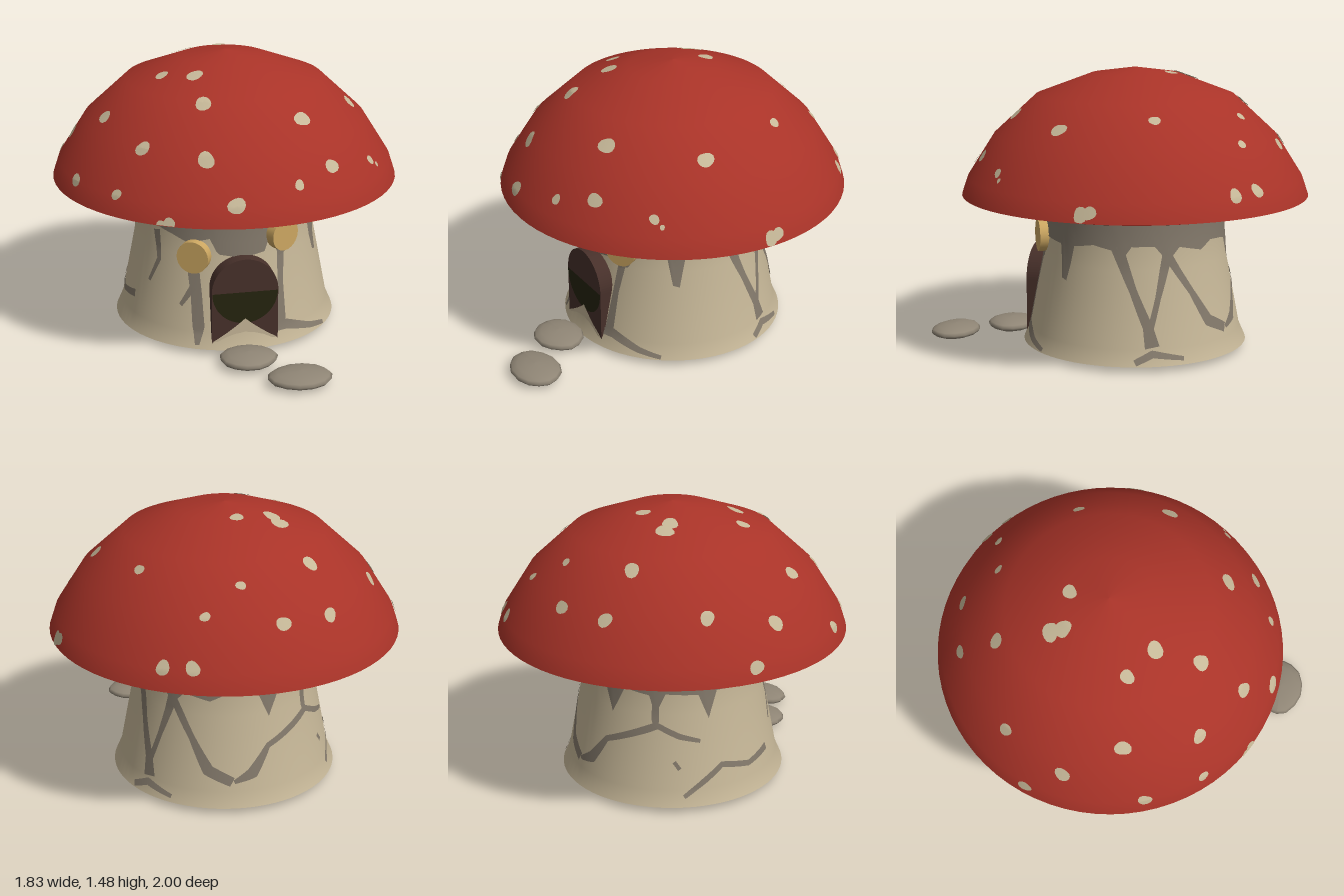
import * as THREE from 'three';

const CZ = -0.088; // axis of stem and cap
const mat = (name, color, side = THREE.FrontSide) => {
  const m = new THREE.MeshStandardMaterial({ color, side });
  m.name = name;
  return m;
};

// Piecewise-linear lookup in rows [key, a, b, ...]
function lookup(rows, k) {
  let i = 0;
  while (i < rows.length - 2 && k > rows[i + 1][0]) i++;
  const p = rows[i], q = rows[i + 1];
  const t = THREE.MathUtils.clamp((k - p[0]) / (q[0] - p[0]), 0, 1);
  return p.slice(1).map((v, j) => v + (q[j + 1] - v) * t);
}

// Surface patch from a rule f(u, v) -> [x, y, z]
function patch(nu, nv, f) {
  const pos = [], idx = [];
  for (let i = 0; i <= nu; i++) for (let j = 0; j <= nv; j++) pos.push(...f(i / nu, j / nv));
  for (let i = 0; i < nu; i++) for (let j = 0; j < nv; j++) {
    const a = i * (nv + 1) + j, b = a + nv + 1;
    idx.push(a, b, a + 1, b, b + 1, a + 1);
  }
  const g = new THREE.BufferGeometry();
  g.setAttribute('position', new THREE.Float32BufferAttribute(pos, 3));
  g.setIndex(idx);
  g.computeVertexNormals();
  return g;
}

export function createModel() {
  const red = mat('cap red', 0xa93328);
  const beige = mat('stem beige', 0xc4b596);
  const spotMat = mat('spot cream', 0xc6b898, THREE.DoubleSide);
  const grey = mat('stem grey brown', 0x82786a, THREE.DoubleSide);
  const gold = mat('window gold', 0xcba661);
  const brown = mat('door brown', 0x47302a);
  const dark = mat('door dark green', 0x25240f);
  const stone = mat('stone grey', 0x8f8575);

  const model = new THREE.Group();
  model.name = 'mushroomHouse';
  const add = (name, geo, m, x = 0, y = 0, z = 0) => {
    const mesh = new THREE.Mesh(geo, m);
    mesh.name = name;
    mesh.position.set(x, y, z);
    model.add(mesh);
    return mesh;
  };
  const lathe = pts => new THREE.LatheGeometry(pts.map(p => new THREE.Vector2(...p)), 72);

  // Stem
  const stem = [[0.595, 0.03], [0.56, 0.11], [0.485, 0.5], [0.472, 0.65], [0.47, 0.81]];
  add('stem', lathe(stem), beige, 0, 0, CZ);
  add('stemBase', lathe([[0, 0.03], [0.595, 0.03]]), beige, 0, 0, CZ);
  const stemRows = stem.map(([r, y]) => [y, r]);
  const onStem = (deg, y) => {
    const a = deg * Math.PI / 180, r = lookup(stemRows, y)[0] + 0.004;
    return [Math.sin(a) * r, y, CZ + Math.cos(a) * r];
  };

  // Dark band under the cap, with drips along its lower edge
  const edge = [[-180, 0.6], [-174, 0.48], [-166, 0.62], [-150, 0.6], [-146, 0.5], [-140, 0.61],
    [-120, 0.6], [-114, 0.47], [-108, 0.61], [-80, 0.6], [-62, 0.63], [-45, 0.6], [-34, 0.57],
    [-20, 0.6], [-15, 0.52], [0, 0.5], [14, 0.52], [18, 0.6], [24, 0.48], [30, 0.5], [36, 0.61],
    [54, 0.6], [58, 0.43], [62, 0.42], [66, 0.6], [80, 0.62], [92, 0.6], [98, 0.55], [104, 0.62],
    [118, 0.62], [126, 0.54], [134, 0.61], [150, 0.58], [160, 0.62], [174, 0.61], [180, 0.6]];
  add('stemBand', patch(180, 4, (u, v) => {
    const deg = -180 + 360 * u, low = lookup(edge, deg)[0];
    return onStem(deg, low + (0.805 - low) * v);
  }), grey);

  // Root-like streaks, rows of [degrees, height, width]
  const streaks = [
    [[95, 0.62, 0.07], [105, 0.4, 0.04], [113, 0.22, 0.05], [115, 0.12, 0.07]],
    [[126, 0.58, 0.06], [119, 0.36, 0.03], [114, 0.2, 0.03]],
    [[124, 0.6, 0.05], [140, 0.38, 0.035], [150, 0.22, 0.06], [163, 0.16, 0.05]],
    [[106, 0.05, 0.03], [115, 0.09, 0.035], [131, 0.06, 0.02]],
    [[14, 0.11, 0.03], [24, 0.12, 0.05], [40, 0.07, 0.03], [52, 0.045, 0.02]],
    [[26, 0.55, 0.05], [23, 0.35, 0.035], [21, 0.1, 0.05]],
    [[-31, 0.5, 0.07], [-27, 0.3, 0.06], [-25, 0.14, 0.06], [-25, 0.05, 0.02]],
    [[-28, 0.36, 0.04], [-36, 0.24, 0.02]],
    [[214, 0.6, 0.04], [214, 0.44, 0.04], [184, 0.33, 0.03], [174, 0.2, 0.06], [164, 0.16, 0.02]],
    [[214, 0.45, 0.03], [228, 0.39, 0.03], [240, 0.36, 0.02]],
    [[230, 0.08, 0.02], [241, 0.15, 0.03], [252, 0.22, 0.03], [270, 0.18, 0.03], [288, 0.21, 0.04]],
    [[225, 0.26, 0.02], [228, 0.22, 0.02]],
    [[302, 0.6, 0.05], [306, 0.45, 0.03], [300, 0.32, 0.02]]
  ];
  for (const s of streaks) {
    const rows = s.map((p, i) => [i / (s.length - 1), ...p]);
    const at = u => lookup(rows, u);
    add('stemStreak', patch(24, 2, (u, v) => {
      const [deg, y, w] = at(u), k = Math.PI / 180 * 0.52;
      const p = at(Math.max(0, u - 0.06)), q = at(Math.min(1, u + 0.06));
      const dx = (q[0] - p[0]) * k, dy = q[1] - p[1], len = Math.hypot(dx, dy);
      const o = (v - 0.5) * w;
      return onStem(deg - dy / len * o / k, Math.max(0.032, y + dx / len * o));
    }), grey);
  }

  // Cap
  const dome = [[0.912, 0.82], [0.88, 0.915], [0.74, 1.135], [0.52, 1.338], [0.23, 1.447], [0, 1.48]];
  add('cap', lathe(dome), red, 0, 0, CZ);
  add('capRim', lathe([[0.83, 0.802], [0.912, 0.82]]), red, 0, 0, CZ);
  add('capUnderside', lathe([[0, 0.802], [0.83, 0.802]]), red, 0, 0, CZ);

  // Cap spots follow the dome by arc length from the rim
  let s = 0;
  const arc = dome.map((p, i) => {
    if (i) s += Math.hypot(p[0] - dome[i - 1][0], p[1] - dome[i - 1][1]);
    return [s, ...p];
  });
  const arcByRadius = arc.map(([d, r]) => [r, d]).reverse();
  const wobble = (t, n) => 1 + 0.1 * Math.sin(2 * t + n * 1.7) + 0.05 * Math.sin(3 * t + n);
  const spots = [[-0.26, -0.81], [0, -0.85], [0.45, -0.83], [0.57, -0.75], [0.35, -0.73, 0.025],
    [0.15, -0.68, 0.024], [-0.24, -0.61, 0.039], [-0.63, -0.5], [-0.84, -0.38], [-0.195, -0.34, 0.045],
    [-0.175, -0.28, 0.042], [0.01, -0.28], [0.54, -0.34, 0.028], [-0.79, -0.19, 0.04], [0.9, -0.08, 0.038],
    [0.896, -0.12, 0.034], [-0.65, 0.09, 0.04], [-0.35, 0.06, 0.035], [-0.2, 0.17, 0.042], [0.62, 0.12, 0.04],
    [-0.82, 0.23, 0.035], [-0.2, 0.4, 0.042], [-0.51, 0.45, 0.038], [0.28, 0.47, 0.043], [0.65, 0.43, 0.025],
    [0.69, 0.41, 0.013], [-0.65, 0.5, 0.028], [0.4, 0.61, 0.038], [-0.23, 0.63, 0.042], [0.21, 0.72, 0.026],
    [-0.11, 0.78, 0.042], [-0.46, 0.7, 0.026], [-0.425, 0.715, 0.03]];
  spots.forEach(([x, z, size = 0.036], n) => {
    const a0 = Math.atan2(x, z - CZ), R = Math.hypot(x, z - CZ);
    const s0 = lookup(arcByRadius, R)[0];
    add('capSpot', patch(14, 3, (u, v) => {
      const t = u * Math.PI * 2, r = size * v * wobble(t, n);
      const [pr, py] = lookup(arc, Math.max(0, s0 + r * Math.sin(t)));
      const a = a0 + r * Math.cos(t) / R, pr2 = pr + 0.004;
      return [Math.sin(a) * pr2, py + 0.004, CZ + Math.cos(a) * pr2];
    }), spotMat);
  });
  const underSpots = [[0.38, 0.46], [0.46, 0.13], [0.69, -0.16], [0.51, -0.64], [-0.04, -0.87],
    [-0.59, -0.64], [-0.66, 0.1], [-0.3, 0.56]];
  underSpots.forEach(([x, z], n) => add('undersideSpot', patch(14, 1, (u, v) => {
    const t = u * Math.PI * 2, r = 0.034 * v * wobble(t, n);
    return [x + r * Math.cos(t), 0.798, z + r * Math.sin(t)];
  }), spotMat));

  // Arched door
  const arch = new THREE.Shape();
  arch.moveTo(-0.174, 0.05);
  arch.lineTo(0.174, 0.05);
  arch.lineTo(0.174, 0.34);
  arch.absarc(0, 0.34, 0.174, 0, Math.PI, false);
  add('door', new THREE.ExtrudeGeometry(arch, { depth: 0.2, bevelEnabled: false, curveSegments: 20 }), brown, 0, 0, 0.266);
  const half = new THREE.Shape();
  half.absarc(0, 0.335, 0.172, Math.PI, Math.PI * 2, false);
  add('doorPanel', new THREE.ShapeGeometry(half, 20), dark, 0, 0, 0.468);
  const sill = new THREE.Shape();
  sill.moveTo(-0.172, 0.07);
  sill.lineTo(0.172, 0.07);
  sill.quadraticCurveTo(0.08, 0.12, 0, 0.19);
  sill.quadraticCurveTo(-0.08, 0.12, -0.172, 0.07);
  add('doorSill', new THREE.ShapeGeometry(sill), beige, 0, 0, 0.471);

  // Round windows
  for (const [x, y, z, turn] of [[0.217, 0.6, 0.355, 29], [-0.243, 0.505, 0.345, -31]]) {
    const disc = new THREE.CylinderGeometry(0.086, 0.086, 0.055, 28).rotateX(Math.PI / 2);
    add('window', disc, gold, x, y, z).rotation.y = turn * Math.PI / 180;
  }

  // Stepping stones
  [[0.195, 0.872, 0.165, 0.128], [-0.015, 0.622, 0.15, 0.132]].forEach(([x, z, rx, rz], n) => {
    const g = new THREE.SphereGeometry(1, 14, 8), p = g.attributes.position;
    for (let i = 0; i < p.count; i++) {
      const a = Math.atan2(p.getX(i), p.getZ(i));
      const k = 1 + 0.04 * Math.sin(3 * a + n * 2) + 0.03 * Math.sin(5 * a + n);
      p.setXYZ(i, p.getX(i) * k * rx, p.getY(i) * 0.037, p.getZ(i) * (0.97 + 0.03 * Math.cos(2 * a)) * rz);
    }
    g.computeVertexNormals();
    add('steppingStone', g, stone, x, 0.037 + n * 0.004, z);
  });
  return model;
}
